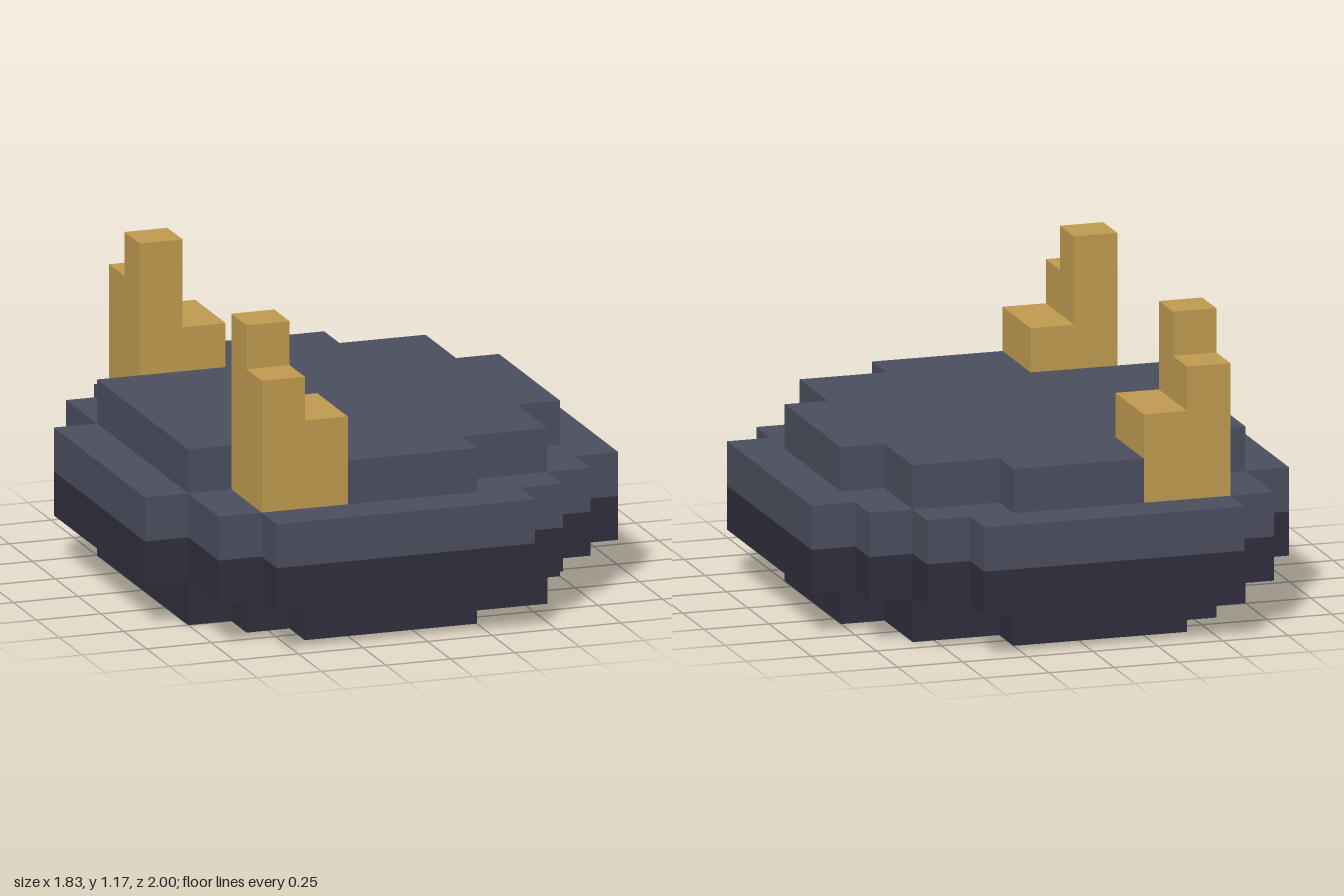
import * as THREE from 'three';

const U = 1 / 6; // size of one block

export function createModel() {
  const group = new THREE.Group();
  const slate = new THREE.MeshStandardMaterial({ name: 'slate', color: 0x4b4f5e });
  const dark = new THREE.MeshStandardMaterial({ name: 'darkSlate', color: 0x302e3c });
  const gold = new THREE.MeshStandardMaterial({ name: 'gold', color: 0xc09b50 });

  // Stepped slab, mirrored front to back; each row is [outer z, left x, right x] in blocks
  function slab(name, rows, y0, y1, material) {
    const right = [], left = [];
    let z = 0;
    for (const [zEnd, x0, x1] of rows) {
      right.push([x1, z], [x1, zEnd]);
      left.push([x0, z], [x0, zEnd]);
      z = zEnd;
    }
    const flip = (points) => points.map(([x, pz]) => [x, -pz]).reverse();
    const outline = [...right, ...left.slice().reverse(), ...flip(left).reverse(), ...flip(right)]
      .filter(([, pz]) => pz !== 0)
      .map(([x, pz]) => new THREE.Vector2((x - 5.5) * U, pz * U));
    const points = outline.filter((p, i) => i === 0 || !p.equals(outline[i - 1]));
    const geometry = new THREE.ExtrudeGeometry(new THREE.Shape(points), {
      depth: (y1 - y0) * U, bevelEnabled: false,
    });
    geometry.rotateX(-Math.PI / 2);
    const mesh = new THREE.Mesh(geometry, material);
    mesh.name = name;
    mesh.position.y = y0 * U;
    group.add(mesh);
  }

  // Body layers, from the ground up
  const rim = [[3, 0, 11], [4, 1, 10], [5, 1, 9], [6, 2, 8]];
  slab('base', [[2, 1, 10], [3, 1, 9], [4, 2, 9], [5, 3, 7]], 0, 1, dark);
  slab('lowerRim', rim, 1, 2, dark);
  slab('upperRim', rim, 2, 3, slate);
  slab('topPlate', [[2, 1, 10], [3, 1, 9], [4, 4, 9], [5, 4, 7]], 3, 4, slate);

  // Stepped horns set in notches of the top plate: [x0, x1, z0, z1, top]
  const steps = [[2, 3, 3, 4, 7], [2, 3, 4, 5, 6], [3, 4, 3, 5, 5]];
  for (const side of [1, -1]) {
    const horn = new THREE.Group();
    horn.name = side > 0 ? 'frontHorn' : 'backHorn';
    for (const [x0, x1, z0, z1, top] of steps) {
      const block = new THREE.Mesh(
        new THREE.BoxGeometry((x1 - x0) * U, (top - 3) * U, (z1 - z0) * U), gold);
      block.name = 'hornBlock';
      block.position.set(((x0 + x1) / 2 - 5.5) * U, ((top + 3) / 2) * U, side * ((z0 + z1) / 2) * U);
      horn.add(block);
    }
    group.add(horn);
  }
  return group;
}
